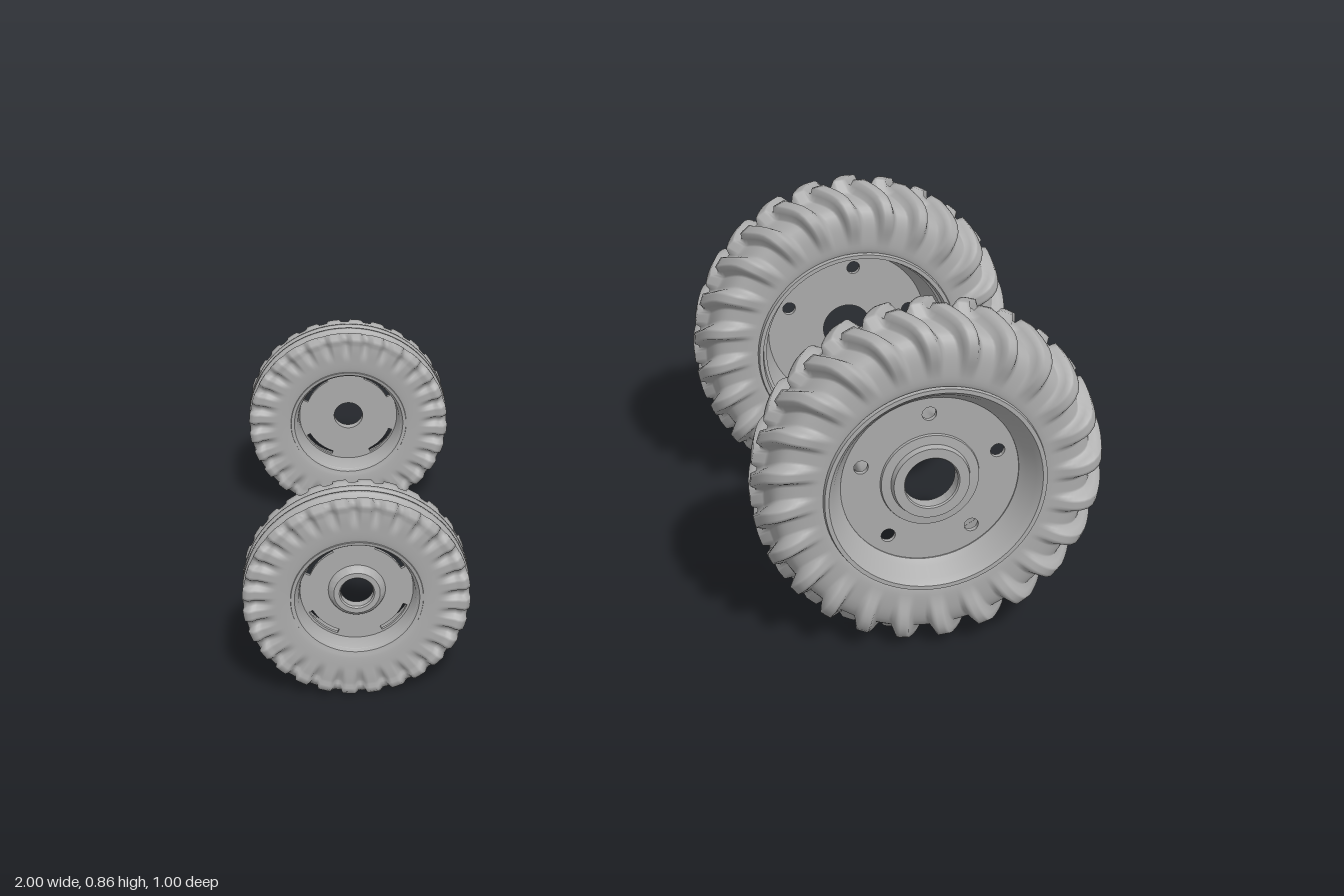
import * as THREE from 'three';
import { toCreasedNormals } from 'three/addons/utils/BufferGeometryUtils.js';

const { smoothstep } = THREE.MathUtils;
const TAU = Math.PI * 2;

// Tyre skin: a profile of [radius, z] swept round the z axis, pushed out along
// its normal by height(u, z, r) and twisted by shift(z) so the grid follows the lugs.
function sweepTyre(half, steps, segments, height, shift) {
  const mirrored = half.slice(0, -1).reverse().map(([r, z]) => [r, -z]);
  const curve = new THREE.SplineCurve([...half, ...mirrored].map(([r, z]) => new THREE.Vector2(r, z)));
  const positions = [], index = [];
  for (let i = 0; i < segments; i++) {
    const u = (i / segments) * TAU;
    for (let j = 0; j <= steps; j++) {
      const p = curve.getPointAt(j / steps), t = curve.getTangentAt(j / steps);
      const h = height(u, p.y, p.x), a = u - shift(p.y);
      const r = p.x + t.y * h;
      positions.push(r * Math.cos(a), r * Math.sin(a), p.y - t.x * h);
      if (j < steps) {
        const n = steps + 1, a0 = i * n + j, b0 = ((i + 1) % segments) * n + j;
        index.push(a0, b0, a0 + 1, b0, b0 + 1, a0 + 1);
      }
    }
  }
  const geo = new THREE.BufferGeometry();
  geo.setAttribute('position', new THREE.Float32BufferAttribute(positions, 3));
  geo.setIndex(index);
  geo.computeVertexNormals();
  return geo;
}

// Closed ring turned round the z axis from counter-clockwise [radius, z] points
function turned(points) {
  const loop = [...points, points[0]].map(([r, z]) => new THREE.Vector2(r, z));
  return toCreasedNormals(new THREE.LatheGeometry(loop, 72).rotateX(Math.PI / 2), 0.6);
}

// Flat round plate with a centre bore and other holes
function plate(radius, bore, holes, z, depth) {
  const shape = new THREE.Shape().absarc(0, 0, radius, 0, TAU);
  shape.holes.push(new THREE.Path().absarc(0, 0, bore, 0, TAU, true), ...holes);
  const geo = new THREE.ExtrudeGeometry(shape, { depth, bevelEnabled: false, curveSegments: 36 });
  return toCreasedNormals(geo.translate(0, 0, z), 0.6);
}

// Signed distance in angle from the nearest of n evenly spaced marks
function offMark(u, n, phase) {
  const k = (u * n) / TAU - phase;
  return ((k - Math.round(k)) * TAU) / n;
}

// Rear tyre: 24 staggered chevron lugs on each side
function rearTyreGeometry() {
  const half = [[0.245, -0.08], [0.268, -0.093], [0.31, -0.094], [0.35, -0.088],
    [0.379, -0.072], [0.393, -0.04], [0.398, 0]];
  const lugs = 24;
  const height = (u, z, r) => {
    let h = 0;
    for (const side of [1, -1]) {
      const d = Math.abs(offMark(u, lugs, side > 0 ? 0 : 0.5)) * 0.41 * 0.75;
      const along = smoothstep(side * z, -0.013, -0.002);
      h = Math.max(h, (1 - smoothstep(d, 0.011, 0.024)) * along);
    }
    return 0.03 * h * smoothstep(r, 0.28, 0.4 - 0.01);
  };
  const shift = (z) => 0.2 * Math.sqrt(z * z + 0.0001) / 0.1;
  return sweepTyre(half, 40, lugs * 14, height, shift).scale(0.972, 1, 1);
}

// Front tyre: four ribs with grooves between them and notched shoulders
function frontTyreGeometry() {
  const half = [[0.135, -0.042], [0.15, -0.05], [0.185, -0.053], [0.215, -0.051],
    [0.236, -0.047], [0.244, -0.036], [0.245, 0]];
  const notches = 28;
  const height = (u, z, r) => {
    const groove = Math.min(Math.abs(z), Math.abs(Math.abs(z) - 0.026));
    const rib = 0.01 * smoothstep(groove, 0.002, 0.006) * smoothstep(r, 0.225, 0.243);
    const shoulder = smoothstep(Math.abs(z), 0.034, 0.042) * smoothstep(r, 0.18, 0.23);
    const d = Math.abs(offMark(u, notches, 0));
    const notch = 1 - smoothstep(d, 0.025, 0.055);
    return rib + 0.004 * shoulder - 0.012 * shoulder * notch;
  };
  return sweepTyre(half, 52, notches * 8, height, (z) => Math.abs(z) * 0.6);
}

// Rear rim pieces: flanged barrel, five-hole disc, stepped hub
function rearRimParts() {
  const boltHoles = Array.from({ length: 5 }, (_, i) => {
    const a = Math.PI * 0.52 + (i * TAU) / 5;
    return new THREE.Path().absarc(0.17 * Math.cos(a), 0.17 * Math.sin(a), 0.017, 0, TAU, true);
  });
  return {
    rimBarrel: turned([[0.252, -0.106], [0.262, -0.106], [0.264, -0.095], [0.245, -0.08],
      [0.238, 0], [0.245, 0.08], [0.264, 0.095], [0.262, 0.105], [0.252, 0.105],
      [0.24, 0.09], [0.224, 0.06], [0.212, 0.045], [0.212, 0.028], [0.236, -0.04]]),
    rimDisc: plate(0.216, 0.063, boltHoles, 0.03, 0.012),
    hub: turned([[0.063, 0.035], [0.12, 0.035], [0.116, 0.048], [0.094, 0.05],
      [0.09, 0.064], [0.066, 0.064], [0.063, 0.06]]),
  };
}

// Front rim pieces: flanged barrel, disc with four arc slots, hub
function frontRimParts() {
  const slots = Array.from({ length: 4 }, (_, i) => {
    const mid = Math.PI / 4 + (i * TAU) / 4, w = 0.36;
    return new THREE.Path()
      .absarc(0, 0, 0.122, mid - w, mid + w, false)
      .absarc(0, 0, 0.112, mid + w, mid - w, true)
      .closePath();
  });
  return {
    rimBarrel: turned([[0.14, -0.05], [0.148, -0.052], [0.15, -0.046], [0.138, -0.036],
      [0.133, 0], [0.138, 0.036], [0.15, 0.046], [0.148, 0.052], [0.14, 0.05],
      [0.131, 0.034], [0.126, 0], [0.131, -0.034]]),
    rimDisc: plate(0.129, 0.037, slots, 0, 0.008),
    hub: turned([[0.037, 0.004], [0.066, 0.004], [0.06, 0.018], [0.052, 0.024],
      [0.04, 0.024], [0.037, 0.02]]),
  };
}

export function createModel() {
  const model = new THREE.Group();
  const grey = new THREE.MeshStandardMaterial({ color: 0xaaaaaa });
  grey.name = 'grey';

  const kinds = [
    { name: 'rear', tyre: rearTyreGeometry(), parts: rearRimParts(), x: 0.583, y: 0.43, z: 0.391 },
    { name: 'front', tyre: frontTyreGeometry(), parts: frontRimParts(), x: -0.745, y: 0.256, z: 0.436 },
  ];
  for (const kind of kinds) {
    for (const side of [1, -1]) {
      const wheel = new THREE.Group();
      wheel.name = `${kind.name}Wheel${side > 0 ? 'Near' : 'Far'}`;
      wheel.position.set(kind.x, kind.y, kind.z * side);

      const tyre = new THREE.Mesh(kind.tyre, grey);
      tyre.name = `${kind.name}Tyre`;
      wheel.add(tyre);

      // The rim's hub side always faces outward
      const rim = new THREE.Group();
      rim.name = `${kind.name}Rim`;
      rim.rotation.y = side > 0 ? 0 : Math.PI;
      for (const [name, geo] of Object.entries(kind.parts)) {
        const mesh = new THREE.Mesh(geo, grey);
        mesh.name = name;
        rim.add(mesh);
      }
      wheel.add(rim);
      model.add(wheel);
    }
  }
  return model;
}
